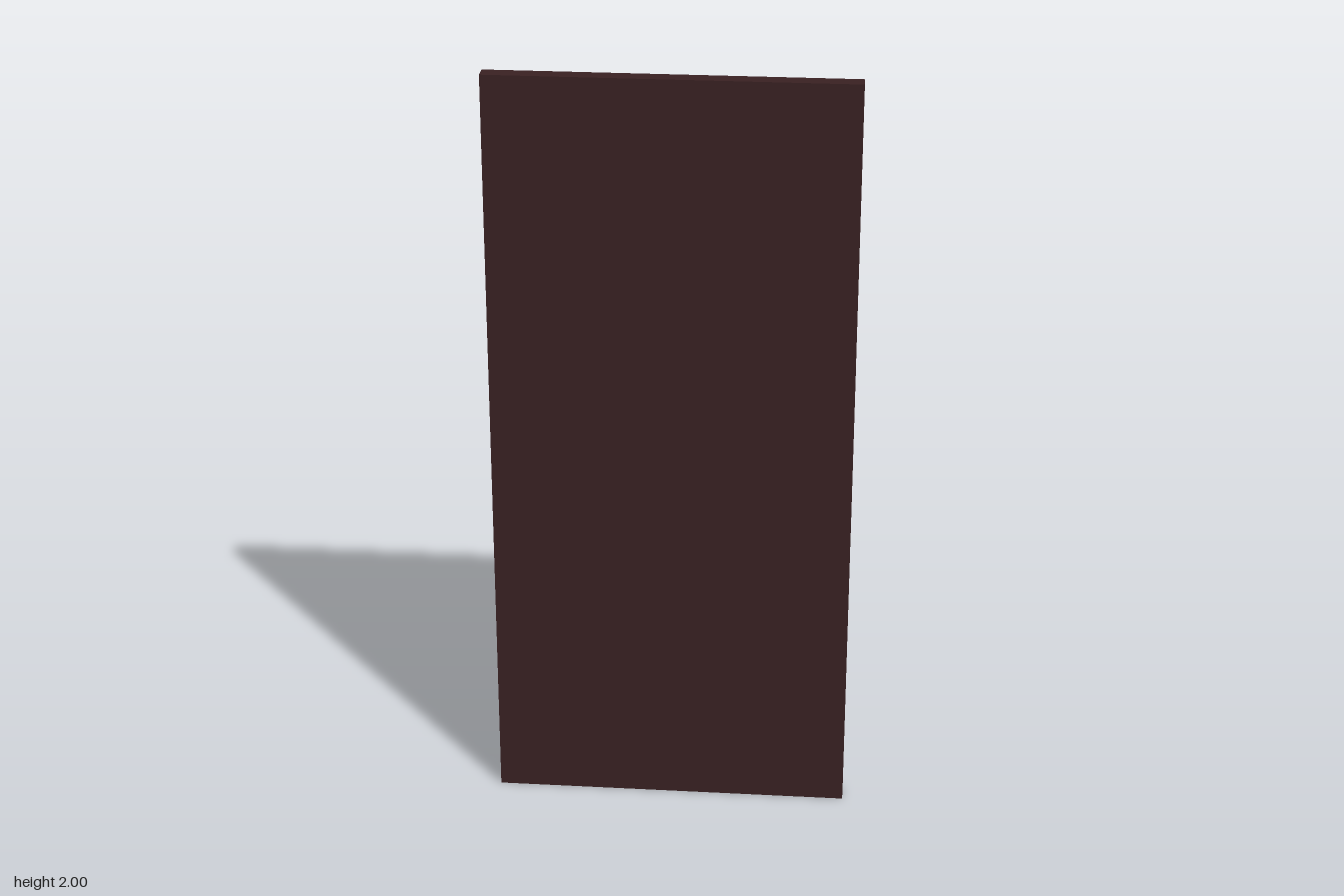
import * as THREE from 'three';

// Panel design is laid out on the door's back face: local u = -x, w = -z (outward).
const CU = -0.37, CY = 1;          // centre of the sunburst
const R = 0.275, RING = 0.038;     // sunburst plate radius, ring width
const HALF_W = 0.465, FACE = 0.004;

export function createModel() {
  const wood = new THREE.MeshStandardMaterial({ color: 0x3a2223 });
  wood.name = 'dark wood';
  const brass = new THREE.MeshStandardMaterial({ color: 0xb88f50 });
  brass.name = 'brass';

  const model = new THREE.Group();
  model.name = 'door';
  const body = new THREE.Group();
  body.name = 'doorBody';
  body.rotation.y = Math.PI;
  model.add(body);

  const add = (name, geometry, material, x = 0, y = 0, z = 0) => {
    const mesh = new THREE.Mesh(geometry, material);
    mesh.name = name;
    mesh.position.set(x, y, z);
    body.add(mesh);
    return mesh;
  };

  // Raised relief with a rounded edge, its back buried in the slab
  const relief = (name, shape, top, bevel) => {
    const back = -0.015;
    const geometry = new THREE.ExtrudeGeometry(shape, {
      depth: top - back - 2 * bevel, bevelEnabled: bevel > 0, bevelThickness: bevel,
      bevelSize: bevel, bevelOffset: -bevel, bevelSegments: 3, curveSegments: 48,
    });
    add(name, geometry, wood, 0, 0, back + bevel);
  };

  // Slab
  add('slab', new THREE.BoxGeometry(2 * HALF_W, 2, 0.04 + FACE), wood, 0, 1, (FACE - 0.04) / 2);

  // Frame moulding, open where the sunburst plate interrupts it
  const X = 0.4, Y = 0.935, F = 0.04, gap = R - 0.03;
  const frame = new THREE.Shape([
    [-X, gap], [-X, Y], [X, Y], [X, -Y], [-X, -Y], [-X, -gap],
    [-X + F, -gap], [-X + F, -Y + F], [X - F, -Y + F], [X - F, Y - F], [-X + F, Y - F], [-X + F, gap],
  ].map(([u, v]) => new THREE.Vector2(u, CY + v)));
  relief('frameMoulding', frame, 0.027, 0.01);

  // Round plate, cut straight at the door edge
  const cutAngle = (r, edge) => Math.PI - Math.acos((edge + CU) / r);
  const plate = new THREE.Shape();
  const p = cutAngle(R - 0.005, HALF_W);
  plate.absarc(CU, CY, R - 0.005, -p, p, false);
  relief('sunburstPlate', plate, 0.016, 0);

  // Raised ring around the plate
  const ring = new THREE.Shape();
  const a = cutAngle(R, 0.45), b = cutAngle(R - RING, 0.45);
  ring.absarc(CU, CY, R, -a, a, false);
  ring.absarc(CU, CY, R - RING, b, -b, true);
  relief('sunburstRing', ring, 0.027, 0.01);

  // Rays every ten degrees from the ring to the frame
  const start = R - 0.015;
  for (let deg = -80; deg <= 80; deg += 10) {
    const t = THREE.MathUtils.degToRad(deg);
    const end = Math.min((X - F - CU + 0.008) / Math.cos(t), (Y - F + 0.008) / Math.abs(Math.sin(t) || 1e-6));
    const geometry = new THREE.CylinderGeometry(0.008, 0.008, end - start, 8);
    const mid = (start + end) / 2;
    const ray = add('ray', geometry, wood, CU + Math.cos(t) * mid, CY + Math.sin(t) * mid, FACE + 0.001);
    ray.rotation.z = t - Math.PI / 2;
  }

  // Knob with its rosette, turned about the outward axis
  const turned = (name, points, material) => {
    const profile = points.map(([r, h]) => new THREE.Vector2(r, h));
    add(name, new THREE.LatheGeometry(profile, 40), material, CU, CY, 0).rotation.x = Math.PI / 2;
  };
  turned('rosette', [[0.07, 0.01], [0.07, 0.018], [0.066, 0.023], [0.06, 0.024], [0.054, 0.02], [0, 0.02]], wood);
  turned('knob', [[0.036, 0.016], [0.038, 0.022], [0.048, 0.027], [0.05, 0.03], [0.05, 0.036],
    [0.047, 0.04], [0.047, 0.04], [0, 0.04]], brass);

  return model;
}
